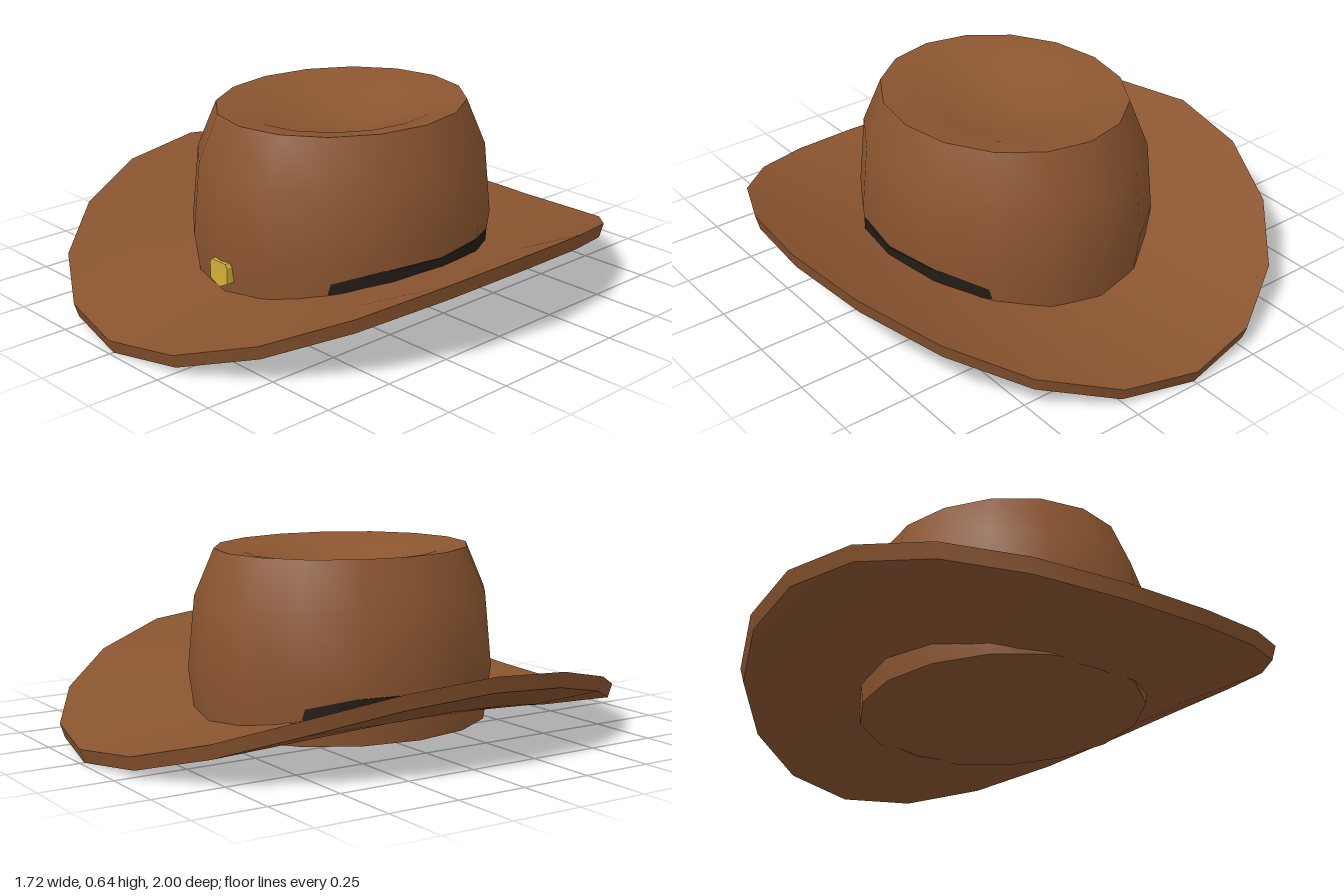
import * as THREE from 'three';
import { toCreasedNormals } from 'three/addons/utils/BufferGeometryUtils.js';

const material = (name, color) => {
  const m = new THREE.MeshStandardMaterial({ color });
  m.name = name;
  return m;
};

// Turned profile squashed to an oval; bend(x, r) gives an extra height
function ovalLathe(profile, sides, sx, bend) {
  const points = profile.map(([r, y]) => new THREE.Vector2(r, y));
  const geometry = new THREE.LatheGeometry(points, sides);
  const p = geometry.attributes.position;
  for (let i = 0; i < p.count; i++) {
    const x = p.getX(i), r = Math.hypot(x, p.getZ(i));
    p.setX(i, x * sx);
    if (bend) p.setY(i, p.getY(i) + bend(x, r));
  }
  return toCreasedNormals(geometry, 0.62);
}

export function createModel() {
  const hat = new THREE.Group();
  hat.name = 'hat';
  const felt = material('brown felt', 0x8b5530);
  const dark = material('dark band', 0x231c16);
  const gold = material('gold', 0xd4af37);

  const add = (name, geometry, mat) => {
    const mesh = new THREE.Mesh(geometry, mat);
    mesh.name = name;
    hat.add(mesh);
    return mesh;
  };

  // Brim: thick oval ring, curled up at the sides and rising slightly to the crown
  const curl = (x, r) => 0.27 * x * x + 0.07 * Math.max(0, 1 - r);
  add('brim', ovalLathe([
    [0.5, 0], [0.75, 0], [0.985, 0.003],
    [1, 0.05], [0.75, 0.05], [0.5, 0.05], [0.5, 0],
  ], 20, 0.86, curl), felt);

  // Crown: closed underneath, dented on top
  add('crown', ovalLathe([
    [0, 0.04], [0.525, 0.04], [0.55, 0.23], [0.525, 0.48], [0.455, 0.64],
    [0.35, 0.625], [0.23, 0.585], [0.11, 0.56], [0, 0.555],
  ], 16, 0.89), felt);

  // Band: shows only at the sides, sinking into the crown at front and back
  const band = new THREE.CylinderGeometry(1, 1, 0.07, 16);
  band.scale(0.492, 1, 0.525);
  band.translate(0, 0.165, 0);
  add('band', band, dark);

  // Badge: small shield on the front of the crown
  const shield = new THREE.Shape([
    [-0.036, 0.195], [-0.044, 0.182], [-0.044, 0.126], [0, 0.105],
    [0.044, 0.126], [0.044, 0.182], [0.036, 0.195],
  ].map(([x, y]) => new THREE.Vector2(x, y)));
  const badge = new THREE.ExtrudeGeometry(shield, { depth: 0.045, bevelEnabled: false });
  add('badge', badge, gold).position.z = 0.51;

  return hat;
}
